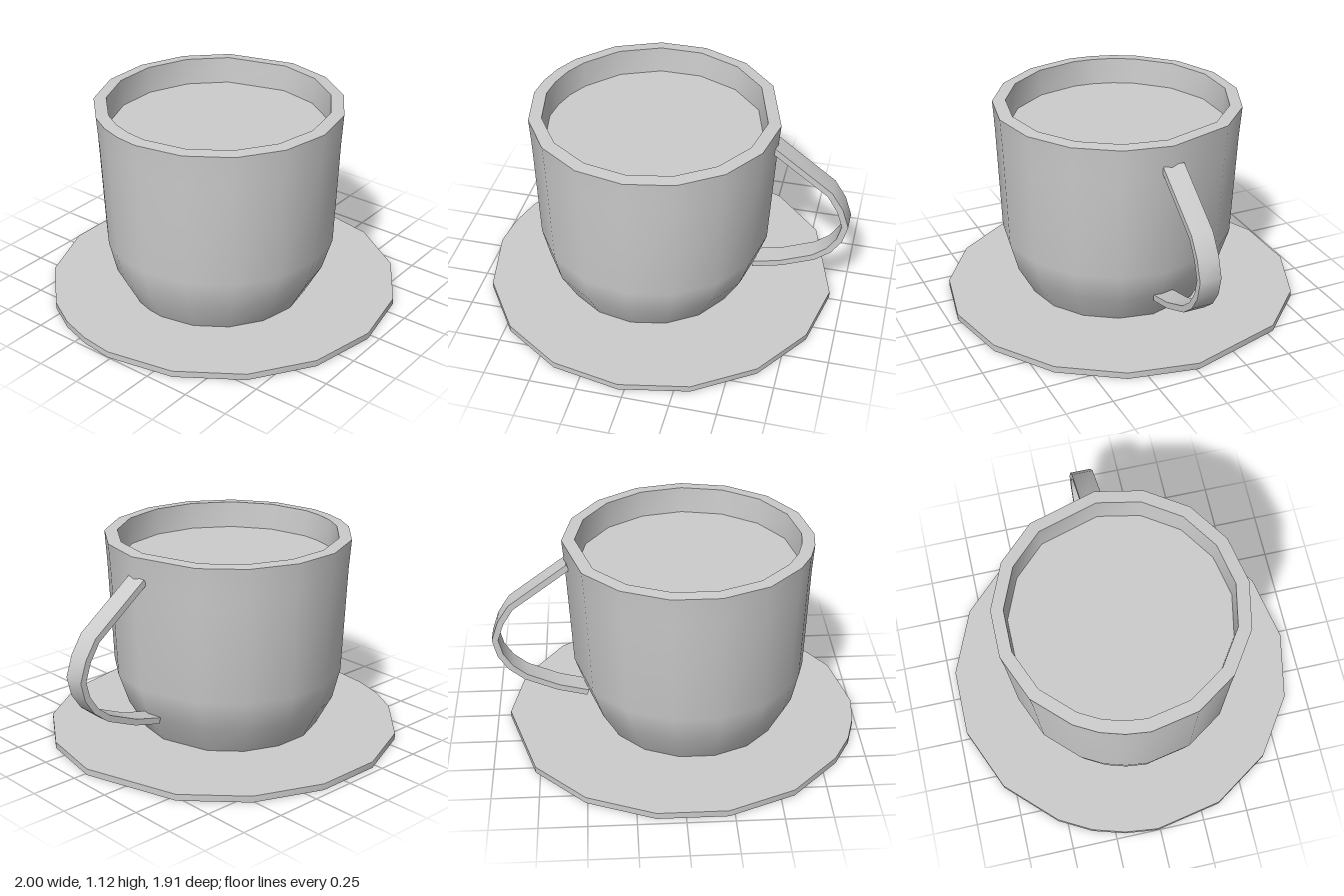
import * as THREE from 'three';
import { mergeGeometries, toCreasedNormals } from 'three/addons/utils/BufferGeometryUtils.js';

// Shared uneven outline of unit radius: regular front half, irregular back half
const outline = [];
for (let i = 0; i <= 8; i++) outline.push([Math.cos(i * Math.PI / 8), Math.sin(i * Math.PI / 8)]);
outline.push([-0.978, -0.19], [-0.923, -0.373], [-0.823, -0.555], [-0.558, -0.826],
  [-0.19, -0.98], [0.193, -0.98], [0.564, -0.826], [0.84, -0.544]);

// Smooth skin through rings given as [radius, y, centreX, centreZ]
function loft(rings) {
  const n = outline.length, positions = [], index = [];
  for (const [r, y, cx, cz] of rings) {
    for (const [x, z] of outline) positions.push(cx + r * x, y, cz + r * z);
  }
  for (let i = 0; i < rings.length - 1; i++) {
    for (let j = 0; j < n; j++) {
      const a = i * n + j, b = i * n + (j + 1) % n;
      index.push(a, a + n, b, b, a + n, b + n);
    }
  }
  const g = new THREE.BufferGeometry();
  g.setAttribute('position', new THREE.Float32BufferAttribute(positions, 3));
  g.setIndex(index);
  g.computeVertexNormals();
  return g;
}

export function createModel() {
  const group = new THREE.Group();
  const china = new THREE.MeshStandardMaterial({ color: 0xcccccc });
  china.name = 'light grey china';
  const add = (name, geometry) => {
    const mesh = new THREE.Mesh(geometry, china);
    mesh.name = name;
    group.add(mesh);
  };

  // Saucer: flat plate with a sharp edge
  const plate = (r, y) => [r, y, -0.035, -0.015];
  add('saucer', mergeGeometries([
    loft([plate(0, 0), plate(0.965, 0)]),
    loft([plate(0.965, 0), plate(0.965, 0.035)]),
    loft([plate(0.965, 0.035), plate(0, 0.035)]),
  ]));

  // Cup: outer wall, flat rim and inner wall
  const rim = [0.667, 1.11, -0.067, -0.016];
  const lip = [0.598, 1.115, -0.067, -0.018];
  const fill = [0.588, 0.97, -0.067, -0.018];
  add('cup', mergeGeometries([
    loft([
      [0.49, 0.03, -0.088, -0.01],
      [0.583, 0.2, -0.083, -0.01],
      [0.631, 0.37, -0.072, -0.01],
      [0.656, 0.95, -0.068, -0.014],
      rim,
    ]),
    loft([rim, lip]),
    loft([lip, fill]),
  ]));

  // Drink surface
  add('drink', loft([fill, [0, 0.97, -0.067, -0.018]]));

  // Handle: flat band following a bent path
  const path = [[0.57, 0.985], [0.885, 0.75], [0.945, 0.655], [0.98, 0.55], [0.957, 0.455],
    [0.905, 0.375], [0.825, 0.31], [0.65, 0.235], [0.49, 0.195]].map(p => new THREE.Vector2(...p));
  const offset = d => path.map((p, i) => {
    const t = path[Math.min(i + 1, path.length - 1)].clone().sub(path[Math.max(i - 1, 0)]).normalize();
    return new THREE.Vector2(p.x - t.y * d, p.y + t.x * d);
  });
  const band = new THREE.Shape([...offset(0.017), ...offset(-0.017).reverse()]);
  const handle = new THREE.ExtrudeGeometry(band, { depth: 0.118, bevelEnabled: false });
  handle.translate(0, 0, -0.085);
  add('handle', toCreasedNormals(handle, 0.8));

  return group;
}
